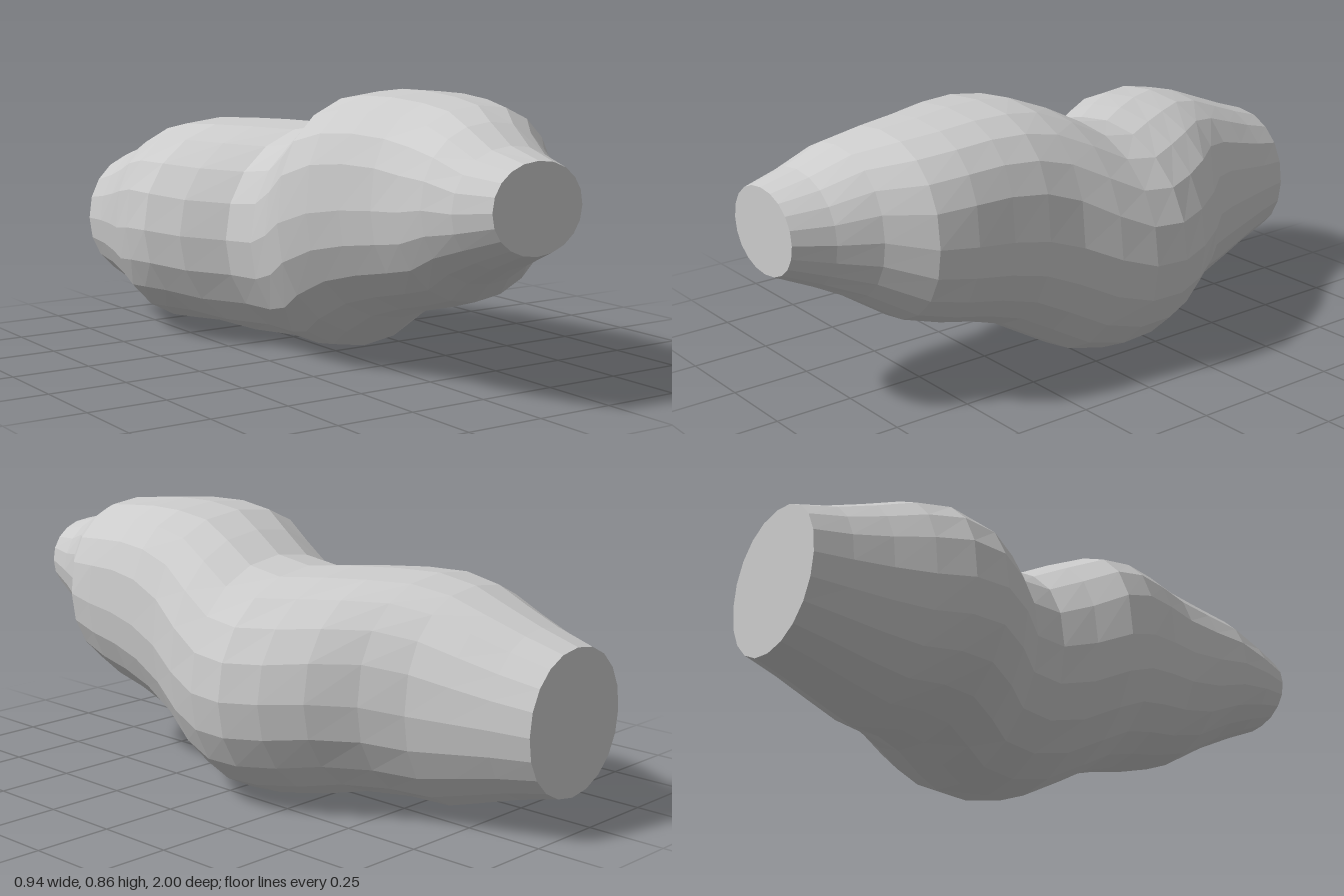
import * as THREE from 'three';

// Cross-sections at even steps from back to front:
// left edge, right edge, bottom, top, squareness of the upper half
const SECTIONS = [
  [-0.37, 0.06, 0.12, 0.565, 2.1],
  [-0.385, 0.10, 0.095, 0.605, 2.1],
  [-0.41, 0.14, 0.06, 0.65, 2.2],
  [-0.445, 0.18, 0.025, 0.695, 2.3],
  [-0.47, 0.25, 0.035, 0.72, 2.3],
  [-0.465, 0.35, 0.04, 0.725, 2.2],
  [-0.40, 0.42, 0.02, 0.725, 2.1],
  [-0.30, 0.465, 0.012, 0.72, 2.1],
  [-0.28, 0.465, 0.005, 0.74, 2.1],
  [-0.30, 0.44, 0.025, 0.80, 2.2],
  [-0.33, 0.405, 0.09, 0.845, 2.4],
  [-0.305, 0.39, 0.16, 0.86, 2.6],
  [-0.27, 0.375, 0.20, 0.86, 2.6],
  [-0.24, 0.365, 0.23, 0.85, 2.5],
  [-0.24, 0.34, 0.265, 0.835, 2.3],
  [-0.24, 0.24, 0.34, 0.80, 2.2],
  [-0.225, 0.18, 0.40, 0.745, 2.1],
  [-0.18, 0.135, 0.455, 0.715, 2.1],
];
const SIDES = 20;

// Signed power, for rounded-square outlines
const bend = (v, n) => Math.sign(v) * Math.abs(v) ** (2 / n);

function loftGeometry() {
  const positions = [], index = [];
  const last = SECTIONS.length - 1;

  SECTIONS.forEach(([left, right, bottom, top, square], i) => {
    for (let j = 0; j < SIDES; j++) {
      const a = (j / SIDES) * Math.PI * 2;
      const n = Math.sin(a) > 0 ? square : 2.05;
      positions.push(
        (left + right) / 2 + ((right - left) / 2) * bend(Math.cos(a), n),
        (bottom + top) / 2 + ((top - bottom) / 2) * bend(Math.sin(a), n),
        -1 + (2 * i) / last
      );
    }
  });

  // Skin between neighbouring rings
  for (let i = 0; i < last; i++) {
    for (let j = 0; j < SIDES; j++) {
      const k = (j + 1) % SIDES;
      const a = i * SIDES + j, b = i * SIDES + k;
      const c = a + SIDES, d = b + SIDES;
      index.push(a, b, c, b, d, c);
    }
  }

  // Flat cut ends
  const front = last * SIDES;
  for (let j = 1; j < SIDES - 1; j++) {
    index.push(0, j + 1, j);
    index.push(front, front + j, front + j + 1);
  }

  const indexed = new THREE.BufferGeometry();
  indexed.setAttribute('position', new THREE.Float32BufferAttribute(positions, 3));
  indexed.setIndex(index);
  const geometry = indexed.toNonIndexed();
  geometry.computeVertexNormals();
  return geometry;
}

export function createModel() {
  const group = new THREE.Group();
  group.name = 'windingTube';

  // Lumpy, winding body with a flat cut at each end
  const material = new THREE.MeshStandardMaterial({ color: 0xcccccc, flatShading: true });
  const body = new THREE.Mesh(loftGeometry(), material);
  body.name = 'body';
  group.add(body);
  return group;
}
